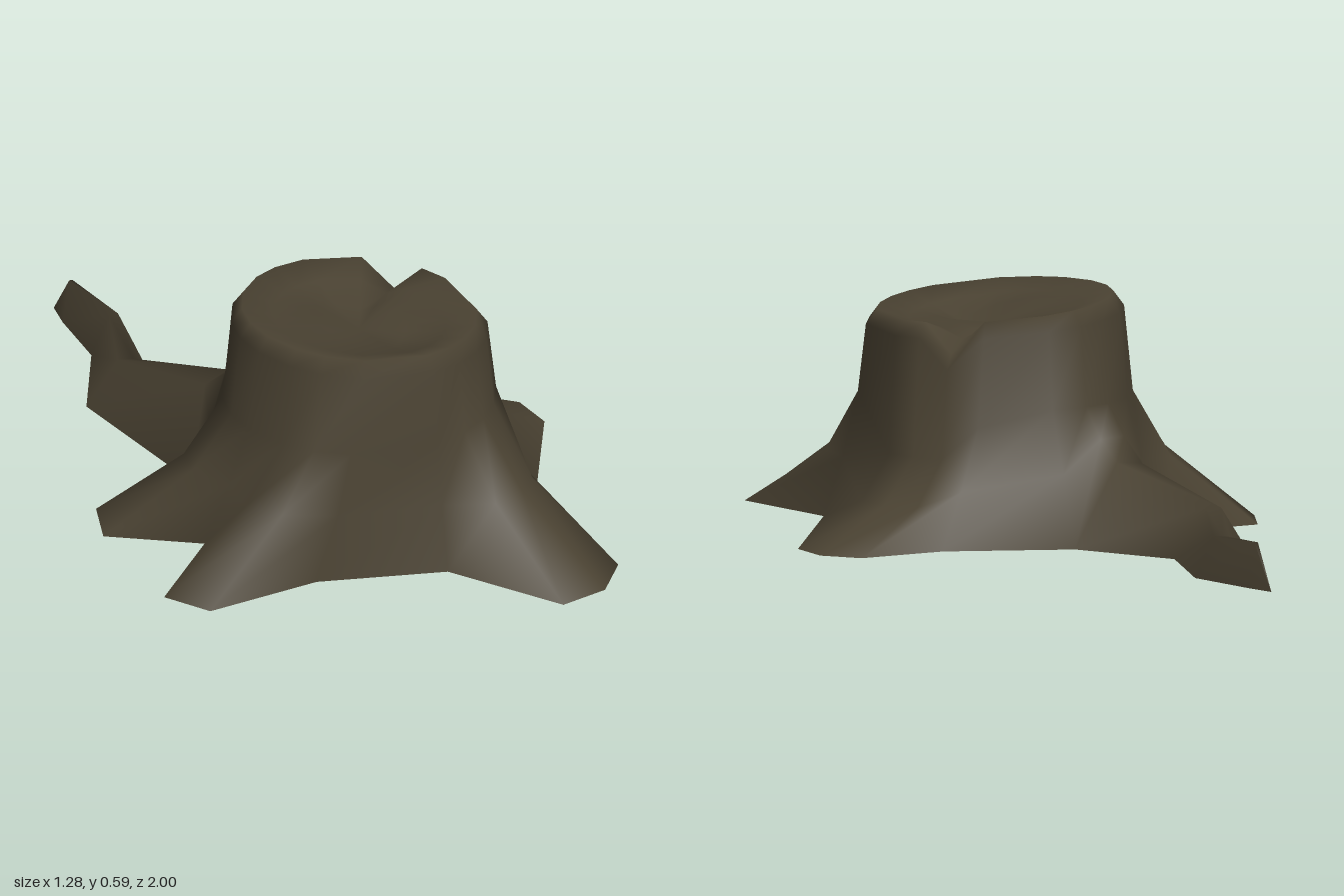
import * as THREE from 'three';

const CX = 0.015, CZ = 0.303;        // trunk axis
const WALL = 0.326, CREST = 0.298;   // radius of the upper wall and of the cut edge
const lerp = THREE.MathUtils.lerp;

// Ground outline, clockwise from above: [x, z, height of first ring, start height]
const outline = [
  [0, -0.18, 0.18], [0.32, -0.08, 0.14],
  [0.55, -0.10, 0.10], [0.63, -0.02, 0.10], [0.64, 0.10, 0.10],      // back left root
  [0.375, 0.56, 0.16],
  [0.46, 0.87, 0.16], [0.37, 0.975, 0.18], [0.24, 1.0, 0.18],        // front root
  [0.06, 0.71, 0.17], [-0.26, 0.61, 0.17],
  [-0.57, 0.63, 0.19], [-0.64, 0.51, 0.19],                          // front right root
  [-0.42, 0.30, 0.17],
  [-0.63, 0.15, 0.18], [-0.58, 0.01, 0.17],                          // back right root
  [-0.30, -0.015, 0.18],
  [-0.205, -0.125, 0.26, 0.2], [-0.125, -0.155, 0.26, 0.21],         // arch over long root
];
const N = outline.length;
const NOTCH = 2;

// Long root sections: [left x, z, right x, z, ridge height]
const rootSections = [
  [-0.355, -0.49, -0.17, -0.42, 0.13],
  [-0.22, -0.73, -0.10, -0.72, 0.105],
  [-0.205, -0.92, -0.16, -0.92, 0.115],
  [-0.19, -1.0, -0.19, -1.0, 0],
];

// Direction of a column at the top: half true bearing, half even spacing
function topAngle(i) {
  const [x, z] = outline[i];
  let bearing = Math.atan2(z - CZ, x - CX);
  if (i > 5 && bearing < 0) bearing += Math.PI * 2;
  return lerp(bearing, -1.6 + (i / N) * Math.PI * 2, 0.5);
}

// One column from the ground up the wall, over the cut edge and into the hollow
function column(i) {
  const [x, z, mid, y0 = 0] = outline[i];
  const a = topAngle(i), c = Math.cos(a), s = Math.sin(a);
  const at = (r, y) => [CX + r * c, y, CZ + r * s];
  const wallX = CX + WALL * c, wallZ = CZ + WALL * s;
  const slope = (f, y) => [lerp(x, wallX, f), y, lerp(z, wallZ, f)];
  const reach = Math.hypot(x - CX, z - CZ);
  const edge = 0.568 - 0.075 * CREST * c - (i === NOTCH ? 0.08 : 0);
  const hollowX = CX + 0.12 * c;
  return [
    [x, y0, z],
    slope(reach > 0.52 ? 0.65 : 0.45, mid),
    slope(1 - 0.022 / (reach - WALL), Math.min(0.335, mid * 2.1)),
    at(WALL, edge - 0.038),
    at(CREST, edge),
    at(0.22, Math.max(edge - 0.025, 0.5)),
    at(0.12, 0.5 + 0.35 * Math.abs(hollowX - 0.07)),
  ];
}

function stumpGeometry() {
  const points = [], index = [];

  // Trunk wall, root buttresses and hollow top
  for (let i = 0; i < N; i++) points.push(...column(i));
  const rows = points.length / N;
  const centre = points.push([CX, 0.51, CZ]) - 1;
  for (let i = 0; i < N; i++) {
    const a = i * rows, b = ((i + 1) % N) * rows;
    for (let k = 0; k < rows - 1; k++) {
      index.push(a + k, a + k + 1, b + k, b + k, a + k + 1, b + k + 1);
    }
    index.push(a + rows - 1, centre, b + rows - 1);
  }

  // Long root growing out of the arch
  let prev = [N - 3, N - 2, N - 1, 0].map((i) => i * rows);
  for (const [lx, lz, rx, rz, h] of rootSections) {
    const next = [0, 0.4, 0.6, 1].map((t, j) => {
      const y = j === 1 || j === 2 ? h : 0;
      return points.push([lerp(lx, rx, t), y, lerp(lz, rz, t)]) - 1;
    });
    for (let j = 0; j < 3; j++) {
      index.push(prev[j], prev[j + 1], next[j], prev[j + 1], next[j + 1], next[j]);
    }
    prev = next;
  }

  const g = new THREE.BufferGeometry();
  g.setAttribute('position', new THREE.Float32BufferAttribute(points.flat(), 3));
  g.setIndex(index);
  g.computeVertexNormals();
  return g;
}

export function createModel() {
  const bark = new THREE.MeshStandardMaterial({ color: 0x4a4232, side: THREE.DoubleSide });
  bark.name = 'bark';
  const stump = new THREE.Mesh(stumpGeometry(), bark);
  stump.name = 'trunkAndRoots';
  const group = new THREE.Group();
  group.name = 'treeStump';
  group.add(stump);
  return group;
}
